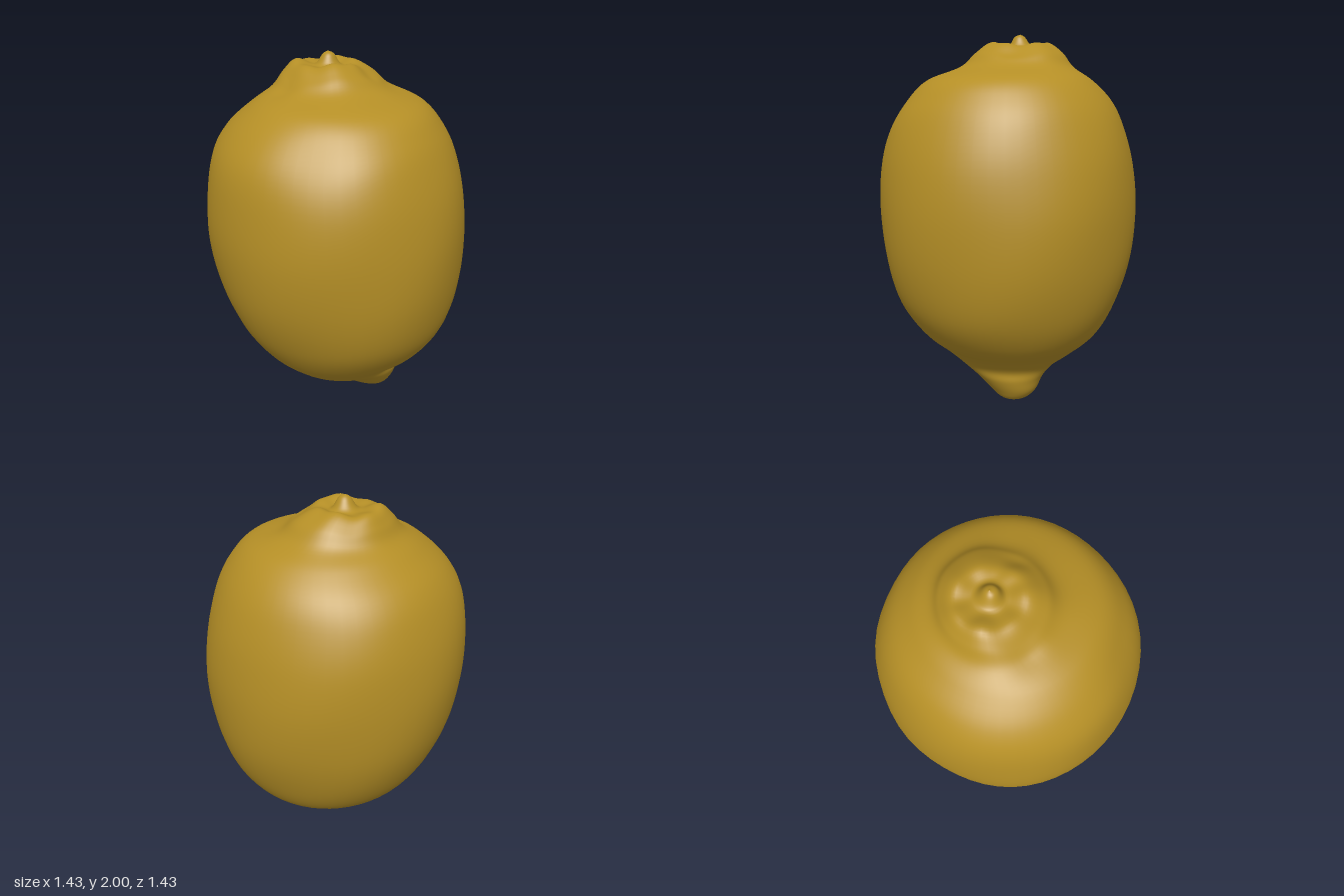
import * as THREE from 'three';

// Cross-sections from the tip up: height, x min, x max, z min, z max
const SECTIONS = [
  [0.0, 0.178, 0.182, 0.138, 0.142],
  [0.02, 0.1, 0.26, 0.06, 0.21],
  [0.07, 0.01, 0.31, 0.0, 0.25],
  [0.14, -0.09, 0.33, -0.07, 0.295],
  [0.2, -0.27, 0.355, -0.2, 0.33],
  [0.27, -0.38, 0.43, -0.36, 0.4],
  [0.38, -0.485, 0.545, -0.49, 0.525],
  [0.55, -0.59, 0.635, -0.595, 0.635],
  [0.78, -0.675, 0.695, -0.675, 0.695],
  [1.05, -0.715, 0.712, -0.71, 0.712],
  [1.3, -0.705, 0.685, -0.7, 0.69],
  [1.5, -0.665, 0.63, -0.65, 0.635],
  [1.64, -0.58, 0.56, -0.575, 0.56],
  [1.75, -0.455, 0.46, -0.455, 0.45],
  [1.82, -0.32, 0.325, -0.36, 0.25],
  [1.89, -0.245, 0.25, -0.315, 0.165],
  [1.945, -0.165, 0.15, -0.26, 0.075],
  [1.93, -0.075, 0.075, -0.165, -0.015],
  [1.985, -0.03, 0.03, -0.115, -0.055],
  [2.0, -0.002, 0.002, -0.092, -0.088],
];

const ROWS = 114, SIDES = 56;

// Smooth curve through one centre or radius per section
function sectionCurve(pick) {
  return new THREE.CatmullRomCurve3(SECTIONS.map(pick), false, 'catmullrom', 0.5);
}

// Bell-shaped falloff around a point
function bell(p, x, y, z, size) {
  const d = (p.x - x) ** 2 + (p.y - y) ** 2 + (p.z - z) ** 2;
  return Math.exp(-d / (size * size));
}

// Gentle unevenness of the skin and puckering around the stem
function shapeSkin(p, angle) {
  const out = new THREE.Vector3(Math.cos(angle), 0, Math.sin(angle));
  const body = THREE.MathUtils.smoothstep(p.y, 0.3, 0.6) * (1 - THREE.MathUtils.smoothstep(p.y, 1.5, 1.75));
  p.addScaledVector(out, body * 0.005 * Math.sin(5 * angle + 3 * p.y) * Math.sin(4 * p.y + angle));
  const r = Math.hypot(p.x, p.z + 0.09);
  const pucker = THREE.MathUtils.smoothstep(p.y, 1.75, 1.9) * THREE.MathUtils.smoothstep(r, 0.06, 0.16);
  p.y += pucker * (0.009 * Math.sin(3 * angle + 2.6) + 0.005 * Math.sin(7 * angle));
  p.y -= 0.025 * bell(p, -0.26, 1.86, -0.05, 0.08) + 0.025 * bell(p, 0.12, 1.92, 0.12, 0.07);
  p.addScaledVector(out, -0.02 * bell(p, -0.42, 1.6, 0.4, 0.18));
  return p;
}

function fruitGeometry() {
  const centres = sectionCurve(([y, x0, x1, z0, z1]) => new THREE.Vector3((x0 + x1) / 2, y, (z0 + z1) / 2));
  const radii = sectionCurve(([y, x0, x1, z0, z1]) => new THREE.Vector3((x1 - x0) / 2, y, (z1 - z0) / 2));
  const positions = [], index = [];
  for (let i = 0; i <= ROWS; i++) {
    const c = centres.getPoint(i / ROWS), r = radii.getPoint(i / ROWS);
    for (let j = 0; j < SIDES; j++) {
      const a = (j / SIDES) * Math.PI * 2;
      const p = new THREE.Vector3(c.x + r.x * Math.cos(a), Math.max(c.y, 0), c.z + r.z * Math.sin(a));
      positions.push(...shapeSkin(p, a).toArray());
      if (i === ROWS) continue;
      const n = (j + 1) % SIDES, low = i * SIDES, high = low + SIDES;
      index.push(low + j, high + j, low + n, low + n, high + j, high + n);
    }
  }
  // Close both ends
  for (let j = 1; j < SIDES - 1; j++) {
    const top = ROWS * SIDES;
    index.push(0, j, j + 1, top, top + j + 1, top + j);
  }
  const geometry = new THREE.BufferGeometry();
  geometry.setAttribute('position', new THREE.Float32BufferAttribute(positions, 3));
  geometry.setIndex(index);
  geometry.computeVertexNormals();
  return geometry;
}

export function createModel() {
  const group = new THREE.Group();
  group.name = 'lemon';
  const peel = new THREE.MeshStandardMaterial({ color: 0xb58f26 });
  peel.name = 'lemon peel yellow';
  const fruit = new THREE.Mesh(fruitGeometry(), peel);
  fruit.name = 'fruit';
  group.add(fruit);
  return group;
}
